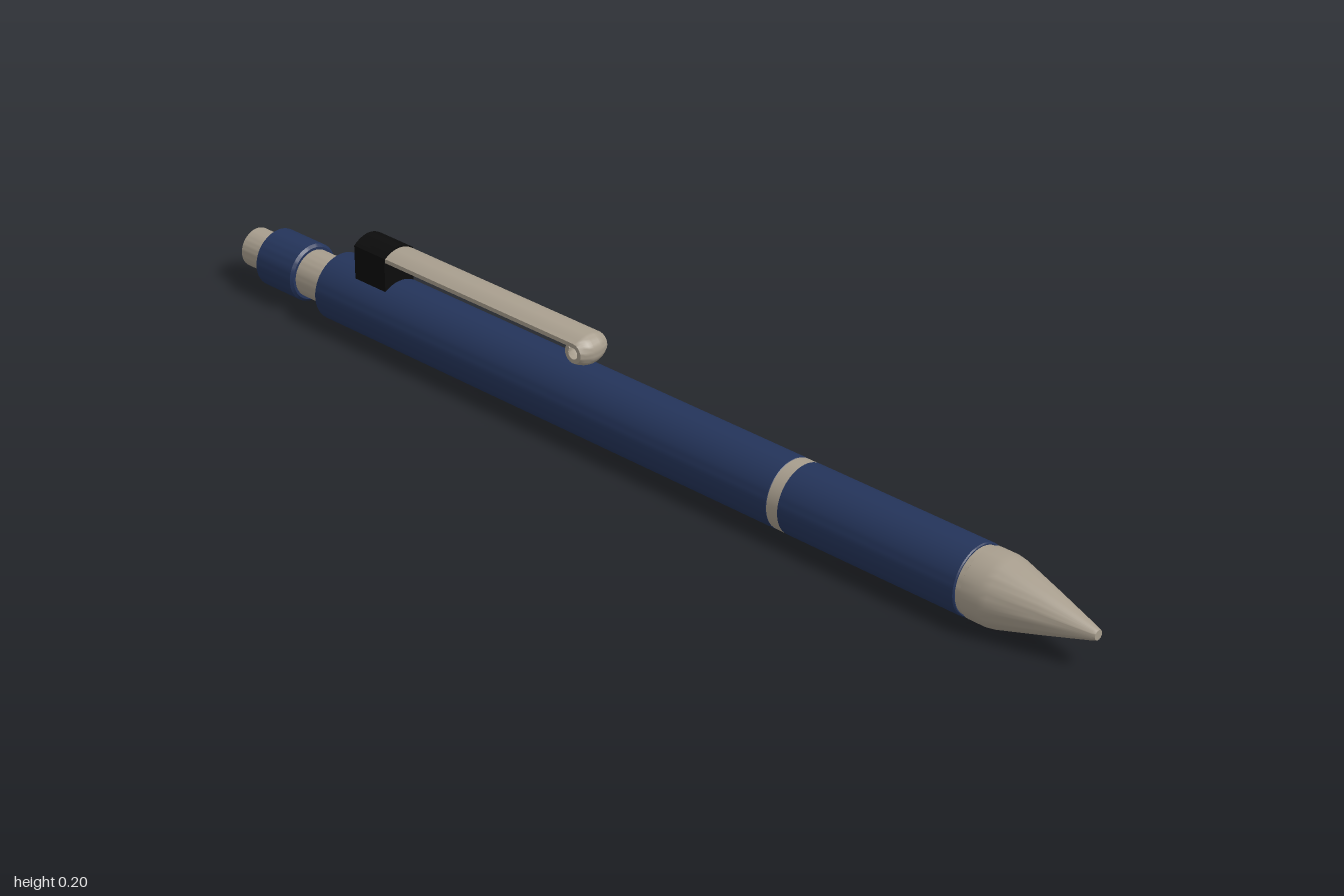
import * as THREE from 'three';
import { toCreasedNormals } from 'three/addons/utils/BufferGeometryUtils.js';

const AXIS_Y = 0.065;

export function createModel() {
  const pen = new THREE.Group();
  pen.name = 'pen';
  const mat = (name, color) => {
    const m = new THREE.MeshStandardMaterial({ color });
    m.name = name;
    return m;
  };
  const navy = mat('navy', 0x24345a);
  const metal = mat('warm metal', 0xa79d8d);
  const black = mat('black', 0x0c0c0c);

  const add = (name, geometry, material) => {
    const mesh = new THREE.Mesh(toCreasedNormals(geometry, 0.45), material);
    mesh.name = name;
    pen.add(mesh);
    return mesh;
  };

  // Turned part: [x, radius] pairs listed from the button end to the tip
  const turned = (name, profile, material) => {
    const points = profile.map(([x, r]) => new THREE.Vector2(r, x));
    const g = new THREE.LatheGeometry(points, 48);
    g.rotateZ(-Math.PI / 2);
    g.translate(0, AXIS_Y, 0);
    return add(name, g, material);
  };
  // Closed cylinder with small chamfers on both ends
  const barrel = (name, x0, x1, r, c, material) =>
    turned(name, [[x0, 0], [x0, r - c], [x0 + c, r], [x1 - c, r], [x1, r - c], [x1, 0]], material);

  barrel('pushButton', -1, -0.93, 0.038, 0.003, metal);
  barrel('knob', -0.94, -0.837, 0.056, 0.005, navy);
  barrel('neck', -0.845, -0.755, 0.046, 0.002, metal);
  barrel('upperBarrel', -0.765, 0.356, 0.065, 0.003, navy);
  barrel('middleRing', 0.353, 0.38, 0.0645, 0.001, metal);
  barrel('lowerBarrel', 0.377, 0.758, 0.065, 0.002, navy);

  // Nose cone with a shallow groove behind its rim
  turned('noseCone', [
    [0.75, 0], [0.75, 0.061], [0.768, 0.061], [0.77, 0.064], [0.805, 0.064],
    [0.82, 0.0615], [0.9, 0.039], [0.994, 0.0115], [1, 0.009], [1, 0],
  ], metal);

  // Clip mount: block with an arched top
  const half = 0.035;
  const section = new THREE.Shape();
  section.moveTo(-half, 0.112);
  section.lineTo(half, 0.112);
  section.lineTo(half, 0.186);
  section.quadraticCurveTo(0, 0.214, -half, 0.186);
  const mount = new THREE.ExtrudeGeometry(section, { depth: 0.08, bevelEnabled: false, curveSegments: 12 });
  mount.rotateY(Math.PI / 2);
  mount.translate(-0.683, 0, 0);
  add('clipMount', mount, black);

  // Clip: arched strip swept along a straight run, then curled under at the end
  const cx = -0.128, cy = 0.166, r = 0.019;
  const stations = [{ x: -0.62, y: cy + r, nx: 0, ny: 1 }];
  const steps = 28;
  for (let i = 0; i <= steps; i++) {
    const a = Math.PI / 2 - (i / steps) * Math.PI * 1.75;
    const nx = Math.cos(a), ny = Math.sin(a);
    stations.push({ x: cx + r * nx, y: cy + r * ny, nx, ny });
  }
  add('clip', sweptStrip(stations, 0.033, 0.011, 0.008), metal);

  return pen;
}

// Closed strip whose cross-section bulges along each station's normal
function sweptStrip(stations, halfWidth, arch, thickness) {
  const n = 8, ring = 2 * (n + 1);
  const positions = [], index = [];
  for (const s of stations) {
    for (let j = 0; j < ring; j++) {
      const outer = j <= n;
      const t = outer ? (j / n) * 2 - 1 : 1 - ((j - n - 1) / n) * 2;
      const d = arch * (1 - t * t) - (outer ? 0 : thickness);
      positions.push(s.x + s.nx * d, s.y + s.ny * d, t * halfWidth);
    }
  }
  for (let i = 0; i < stations.length - 1; i++) {
    for (let j = 0; j < ring; j++) {
      const k = (j + 1) % ring;
      const a = i * ring + j, b = i * ring + k, c = a + ring, d = b + ring;
      index.push(a, b, c, b, d, c);
    }
  }
  // End caps
  const last = (stations.length - 1) * ring;
  for (let j = 0; j < n; j++) {
    const o0 = j, o1 = j + 1, i0 = ring - 1 - j, i1 = ring - 2 - j;
    index.push(o0, i0, o1, o1, i0, i1);
    index.push(last + o0, last + o1, last + i0, last + o1, last + i1, last + i0);
  }
  const g = new THREE.BufferGeometry();
  g.setAttribute('position', new THREE.Float32BufferAttribute(positions, 3));
  g.setIndex(index);
  g.computeVertexNormals();
  return g;
}
